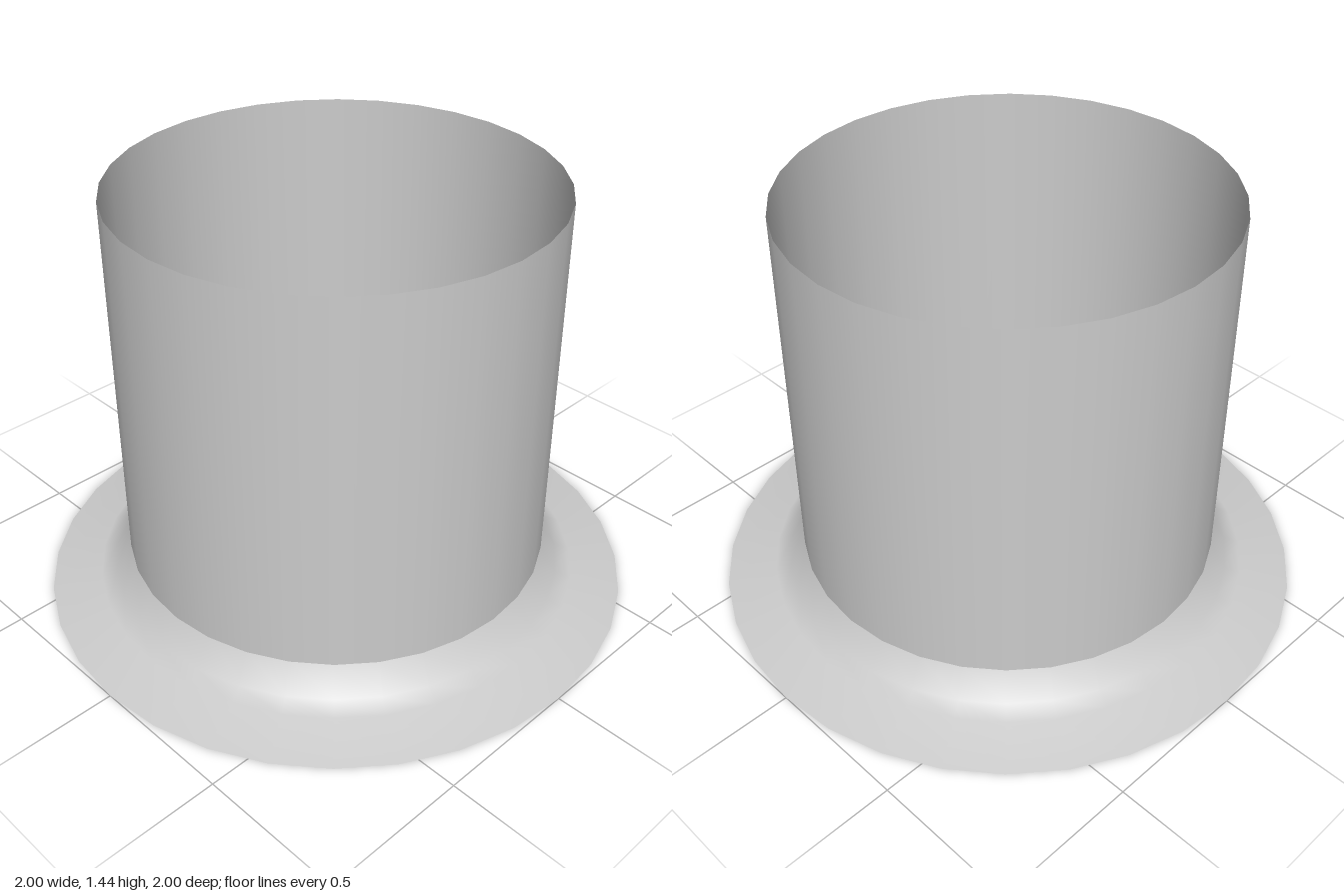
import * as THREE from 'three';

const SEGMENTS = 32;

export function createModel() {
  const group = new THREE.Group();
  const material = new THREE.MeshStandardMaterial({ color: 0xcccccc, side: THREE.DoubleSide });

  // Revolves a profile of [radius, height] points, listed from bottom to top
  const addLathe = (name, profile) => {
    const points = profile.map(([r, y]) => new THREE.Vector2(r, y));
    const mesh = new THREE.Mesh(new THREE.LatheGeometry(points, SEGMENTS), material);
    mesh.name = name;
    group.add(mesh);
  };

  // Thin open tube, reaching down to the ground inside the flange
  addLathe('tube', [[0.72, 0], [0.72, 1.44]]);

  // Flared skirt around the foot, hollow underneath
  addLathe('flange', [[1, 0], [0.83, 0.032], [0.776, 0.056], [0.72, 0.15]]);

  return group;
}
